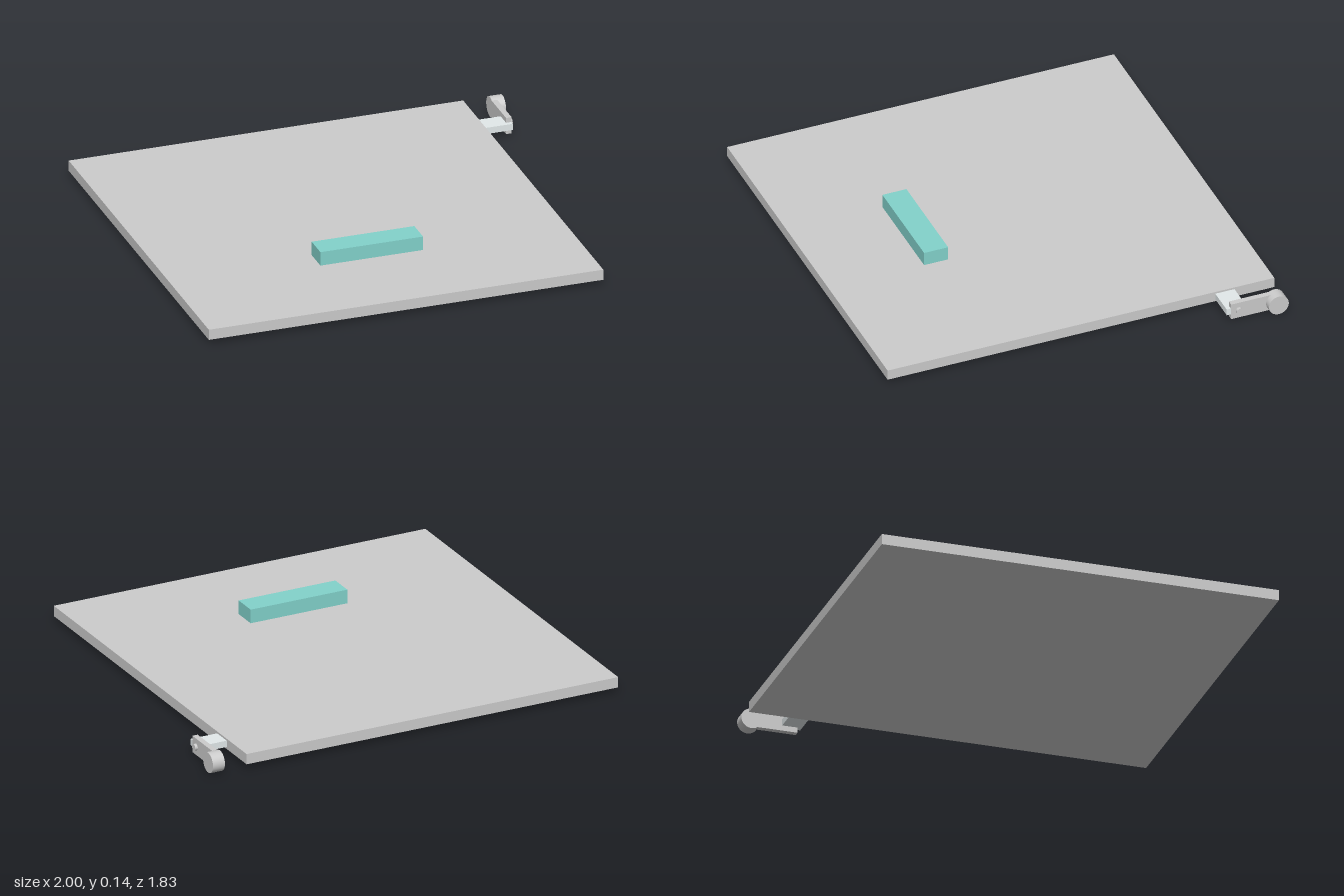
import * as THREE from 'three';

const grey = new THREE.MeshStandardMaterial({ color: 0xcccccc });
const pale = new THREE.MeshStandardMaterial({ color: 0xe2e9ea });
const teal = new THREE.MeshStandardMaterial({ color: 0x82d2cb });

export function createModel() {
  const model = new THREE.Group();

  function add(name, geometry, material, x, y, z) {
    const mesh = new THREE.Mesh(geometry, material);
    mesh.name = name;
    mesh.position.set(x, y, z);
    model.add(mesh);
  }

  // box given by its extents on each axis
  function box(name, material, [x0, x1], [y0, y1], [z0, z1]) {
    add(name, new THREE.BoxGeometry(x1 - x0, y1 - y0, z1 - z0), material,
      (x0 + x1) / 2, (y0 + y1) / 2, (z0 + z1) / 2);
  }

  // cylinder lying along x
  function disc(name, radius, [x0, x1], y, z) {
    const geometry = new THREE.CylinderGeometry(radius, radius, x1 - x0, 40).rotateZ(-Math.PI / 2);
    add(name, geometry, grey, (x0 + x1) / 2, y, z);
  }

  // flat panel with a raised bar handle
  box('panel', grey, [-1, 0.834], [0.027, 0.076], [-0.917, 0.917]);
  box('handleBar', teal, [-0.32, 0.157], [0.076, 0.141], [0.349, 0.463]);

  // side latch: tab, swinging arm, pivot pin and round end knob
  box('latchTab', pale, [0.834, 0.965], [0.037, 0.067], [-0.728, -0.637]);
  box('latchArm', grey, [0.941, 0.967], [0.012, 0.09], [-0.87, -0.657]);
  disc('pivotPin', 0.015, [0.955, 0.98], 0.051, -0.694);
  disc('endKnob', 0.047, [0.941, 1], 0.05, -0.87);

  return model;
}
